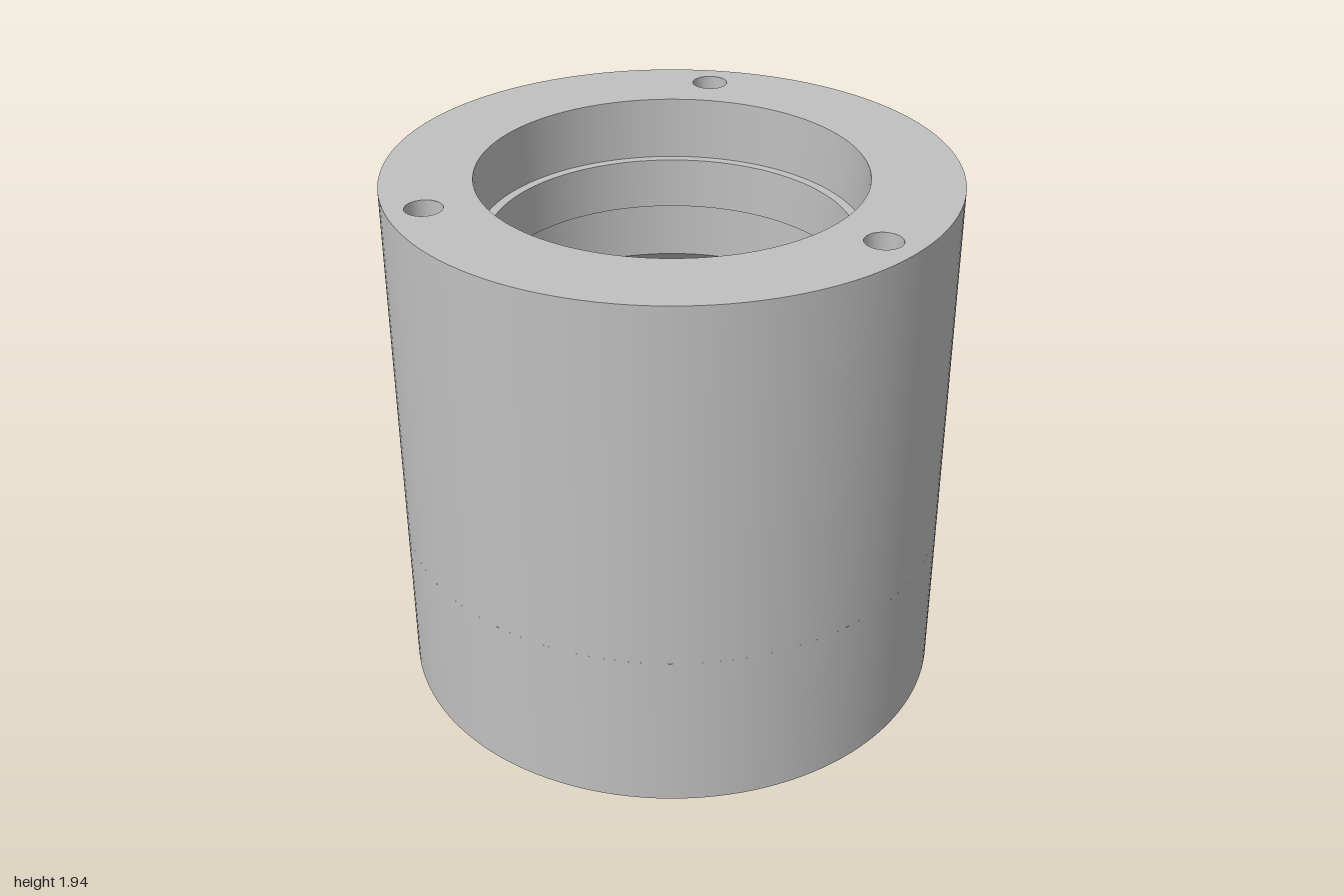
import * as THREE from 'three';

const H = 1.94, R = 1, RI = 0.91;           // height, outer and inner wall radius
const HOLE = { phi: Math.PI * 2 / 3, y: 0.3, r: 0.21, half: 0.3 };
const grey = new THREE.MeshStandardMaterial({ color: 0xc0c0c0 });
grey.name = 'grey plastic';

const polar = (r, phi, y) => new THREE.Vector3(r * Math.sin(phi), y, r * Math.cos(phi));

function add(parent, name, geometry) {
  const mesh = new THREE.Mesh(geometry, grey);
  mesh.name = name;
  parent.add(mesh);
  return mesh;
}

// One turned surface between two profile points (going up faces outward)
function band(r0, y0, r1, y1, seg = 128, start = 0, length = Math.PI * 2) {
  return new THREE.LatheGeometry([new THREE.Vector2(r0, y0), new THREE.Vector2(r1, y1)], seg, start, length);
}

// Surface from a function of u and v; faces along du x dv
function grid(fn, nu, nv) {
  const pos = [], index = [];
  for (let i = 0; i <= nu; i++)
    for (let j = 0; j <= nv; j++) pos.push(...fn(i / nu, j / nv).toArray());
  for (let i = 0; i < nu; i++)
    for (let j = 0; j < nv; j++) {
      const a = i * (nv + 1) + j, b = a + nv + 1;
      index.push(a, b, b + 1, a, b + 1, a + 1);
    }
  const g = new THREE.BufferGeometry();
  g.setAttribute('position', new THREE.Float32BufferAttribute(pos, 3));
  g.setIndex(index);
  g.computeVertexNormals();
  return g;
}

// Point on the wall between the round hole edge (t = 0) and a square border (t = 1)
function patchPoint(radius, t, turn) {
  const a = turn * Math.PI * 2, c = Math.cos(a), s = Math.sin(a);
  const k = HOLE.half / Math.max(Math.abs(c), Math.abs(s));
  const angle = THREE.MathUtils.lerp(Math.asin(HOLE.r * c / radius), k * c, t);
  const y = HOLE.y + THREE.MathUtils.lerp(HOLE.r, k, t) * s;
  return polar(radius, HOLE.phi + angle, y);
}

function createHousing() {
  const g = new THREE.Group();
  g.name = 'housing';
  const low = HOLE.y + HOLE.half, start = HOLE.phi + HOLE.half, sweep = Math.PI * 2 - 2 * HOLE.half;

  // Outer and inner walls, leaving a gap for the patch with the cable hole
  add(g, 'outerWall', band(R, low, R, H));
  add(g, 'outerWallLower', band(R, 0, R, low, 128, start, sweep));
  add(g, 'innerWall', band(RI, 1.07, RI, low));
  add(g, 'innerWallLower', band(RI, low, RI, 0, 128, start, sweep));
  add(g, 'bottomRim', band(RI, 0, R, 0));
  add(g, 'outerHolePatch', grid((u, v) => patchPoint(R, u, v), 6, 64));
  add(g, 'innerHolePatch', grid((u, v) => patchPoint(RI, v, u), 64, 6));
  add(g, 'cableHole', grid((u, v) => patchPoint(R + (RI - R) * v, 0, u), 64, 1));

  // Stepped bore with a narrow lip and a conical underside
  const bore = [[0.68, H], [0.68, 1.71], [0.645, 1.71], [0.645, 1.52], [0.68, 1.52], [0.68, 1.3], [RI, 1.07]];
  for (let i = 0; i < bore.length - 1; i++) add(g, 'boreStep', band(...bore[i], ...bore[i + 1]));

  // Top face with three blind screw holes
  const top = new THREE.Shape().absarc(0, 0, R, 0, Math.PI * 2);
  top.holes.push(new THREE.Path().absarc(0, 0, 0.68, 0, Math.PI * 2, true));
  for (let i = 0; i < 3; i++) {
    const p = polar(0.87, Math.PI / 3 + i * Math.PI * 2 / 3, 0);
    top.holes.push(new THREE.Path().absarc(p.x, -p.z, 0.065, 0, Math.PI * 2, true));
    add(g, 'screwHole', band(0.065, H, 0.065, H - 0.3, 32)).position.copy(p);
    add(g, 'screwHoleFloor', band(0.065, H - 0.3, 0, H - 0.3, 32)).position.copy(p);
  }
  add(g, 'topFace', new THREE.ShapeGeometry(top, 64).rotateX(-Math.PI / 2).translate(0, H, 0));
  return g;
}

// Screw post with a blind hole from below, tied to the wall by a rib
function createPost(phi) {
  const g = new THREE.Group();
  g.name = 'screwPost';
  const h = 0.26, r = 0.125, hole = 0.064, depth = 0.2;
  add(g, 'postSide', band(r, 0, r, h, 40));
  add(g, 'postTop', band(r, h, 0, h, 40));
  add(g, 'postBottom', band(hole, 0, r, 0, 40));
  add(g, 'postHole', band(hole, depth, hole, 0, 40));
  add(g, 'postHoleEnd', band(0, depth, hole, depth, 40));
  add(g, 'rib', new THREE.BoxGeometry(0.08, h, 0.16)).position.set(0, h / 2, 0.19);
  g.position.copy(polar(0.645, phi, 0));
  g.rotation.y = phi;
  return g;
}

export function createModel() {
  const model = new THREE.Group();
  model.name = 'cylindricalHousing';
  model.add(createHousing());
  for (let i = 0; i < 3; i++) model.add(createPost(Math.PI / 2 + i * Math.PI * 2 / 3));
  return model;
}
